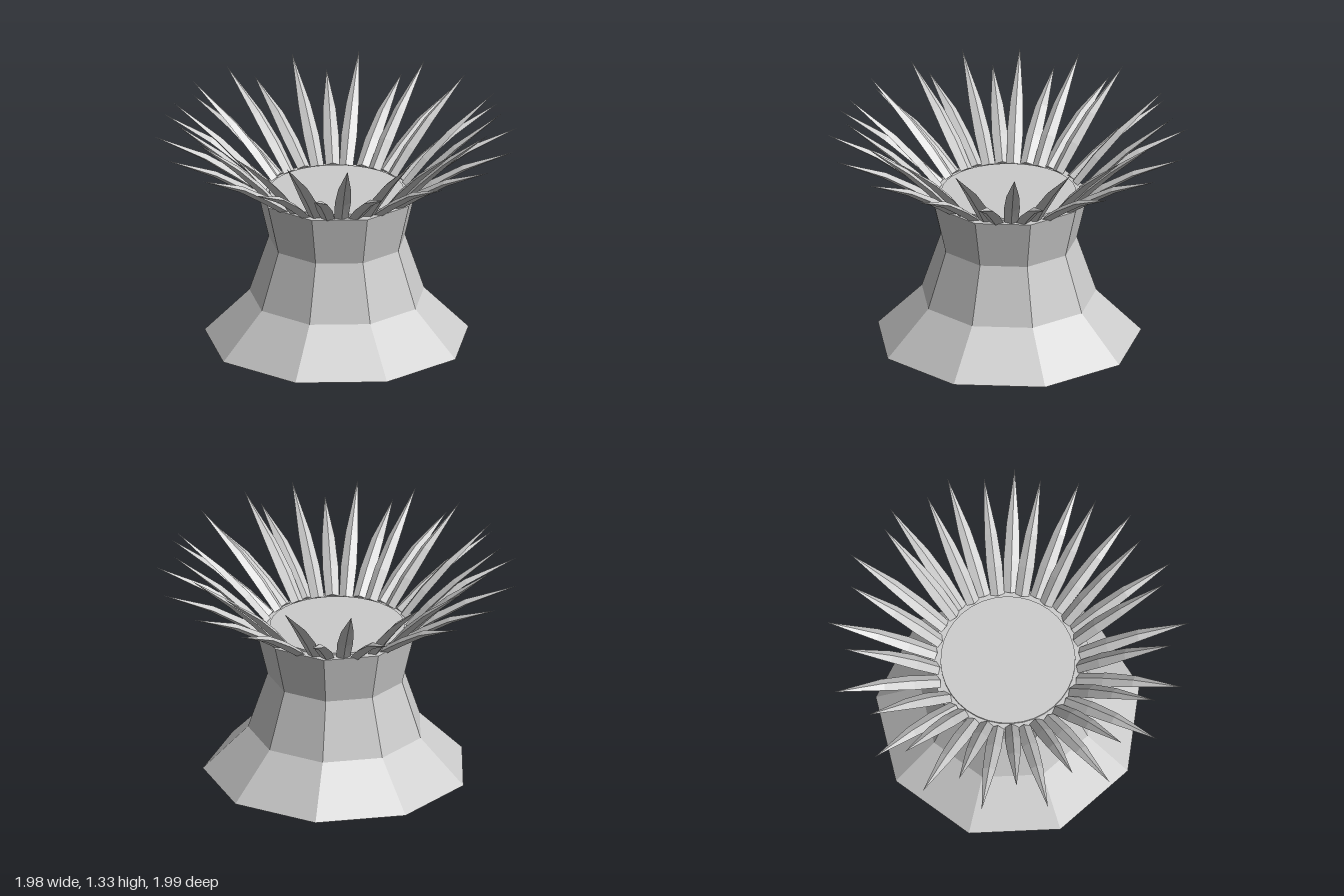
import * as THREE from 'three';

const material = new THREE.MeshStandardMaterial({ color: 0xcccccc, flatShading: true, side: THREE.DoubleSide });

// Pointed leaf with a diamond cross-section, growing outward along +x.
// Each section is [radius, height, half width, half thickness].
function leafGeometry(sections, tip) {
  const pos = [], idx = [], n = sections.length;
  sections.forEach(([r, y, w, t], i) => {
    const next = sections[i + 1] || tip;
    const a = Math.atan2(next[1] - y, next[0] - r);
    const nx = -Math.sin(a) * t, ny = Math.cos(a) * t;
    pos.push(r + nx, y + ny, 0, r, y, w, r - nx, y - ny, 0, r, y, -w);
  });
  pos.push(tip[0], tip[1], 0);
  for (let i = 0; i < n; i++) {
    for (let k = 0; k < 4; k++) {
      const a = i * 4 + k, b = i * 4 + (k + 1) % 4;
      if (i < n - 1) idx.push(a, b, a + 4, b, b + 4, a + 4);
      else idx.push(a, b, n * 4);
    }
  }
  idx.push(0, 2, 1, 0, 3, 2);
  const g = new THREE.BufferGeometry();
  g.setAttribute('position', new THREE.Float32BufferAttribute(pos, 3));
  g.setIndex(idx);
  const flat = g.toNonIndexed();
  flat.computeVertexNormals();
  return flat;
}

// Ring of leaves; angles run in degrees from +x towards +z
function leafRing(name, geometry, angles) {
  const ring = new THREE.Group();
  ring.name = name;
  angles.forEach((deg) => {
    const leaf = new THREE.Mesh(geometry, material);
    leaf.name = 'leaf';
    leaf.rotation.y = -THREE.MathUtils.degToRad(deg);
    ring.add(leaf);
  });
  return ring;
}

export function createModel() {
  const model = new THREE.Group();
  model.name = 'spikyPlant';

  // Nine-sided waisted trunk with a flared foot
  const profile = [[0, 0], [0.735, 0], [0.487, 0.25], [0.38, 0.57], [0.446, 0.85], [0, 0.85]]
    .map(([r, y]) => new THREE.Vector2(r, y));
  const trunk = new THREE.Mesh(new THREE.LatheGeometry(profile, 9, Math.PI / 2 + Math.PI / 9), material);
  trunk.name = 'trunk';
  trunk.position.x = 0.005;
  model.add(trunk);

  // Round plate closing the top inside the leaves
  const plate = new THREE.Mesh(new THREE.CylinderGeometry(0.37, 0.37, 0.02, 36), material);
  plate.name = 'topPlate';
  plate.position.y = 0.852;
  model.add(plate);

  // Lower, wider ring
  const lower = leafGeometry(
    [[0.4, 0.85, 0.038, 0.02], [0.55, 0.955, 0.044, 0.022], [0.72, 1.06, 0.035, 0.018]], [1.0, 1.18]);
  model.add(leafRing('lowerLeaves', lower, [6, 27, 48.7, 68, 88.8, 110, 131, 150.6, 169.6,
    195, 218.6, 242.7, 262.5, 283.3, 304.8, 325.7, 345.4]));

  // Upper, steeper ring set between the lower leaves
  const upper = leafGeometry(
    [[0.39, 0.85, 0.038, 0.02], [0.51, 0.985, 0.044, 0.022], [0.65, 1.12, 0.035, 0.018]], [0.905, 1.325]);
  model.add(leafRing('upperLeaves', upper, [15, 38, 59.3, 79, 99.6, 119.7, 140, 161.4, 180,
    206, 229.5, 254, 273.2, 294.3, 314.1, 335, 356.6]));

  return model;
}
